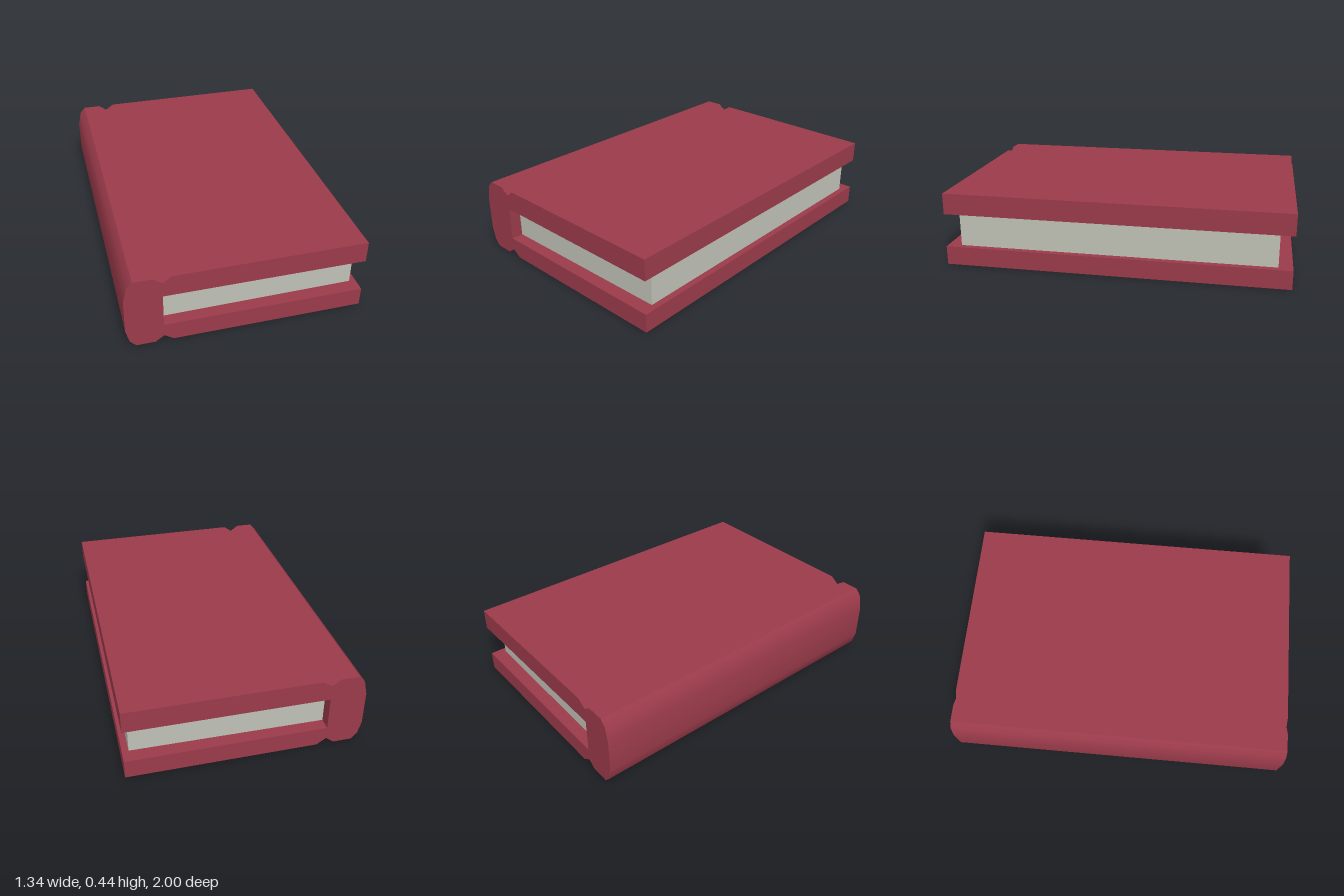
import * as THREE from 'three';
import { toCreasedNormals } from 'three/addons/utils/BufferGeometryUtils.js';

const HEIGHT = 0.436, INNER_LOW = 0.111, INNER_HIGH = 0.311;
const EDGE = 0.67, HINGE = -0.463;

// Extrude a closed outline of [x, y] points.
function extrude(points, depth) {
  const shape = new THREE.Shape(points.map(([x, y]) => new THREE.Vector2(x, y)));
  return new THREE.ExtrudeGeometry(shape, { depth, bevelEnabled: false });
}

// C-shaped binding: two boards, hinge grooves and a rounded spine.
function coverGeometry() {
  const upper = [
    [EDGE, INNER_HIGH], [EDGE, HEIGHT], [-0.411, HEIGHT], [HINGE, 0.4],
    [-0.511, HEIGHT], [-0.617, HEIGHT], [-0.65, 0.4], [-EDGE, INNER_HIGH],
  ];
  const lower = [
    [-EDGE, INNER_LOW], [-0.65, 0.036], [-0.617, 0], [-0.511, 0],
    [HINGE, 0.036], [-0.411, 0], [EDGE, 0], [EDGE, INNER_LOW],
  ];
  const inside = [[HINGE, INNER_LOW], [HINGE, INNER_HIGH]];
  const raw = extrude([...upper, ...lower, ...inside], 2);
  raw.translate(0, 0, -1);
  const geometry = toCreasedNormals(raw, THREE.MathUtils.degToRad(35));

  // Soften the shading across the hinge grooves.
  const p = geometry.attributes.position, n = geometry.attributes.normal;
  for (let i = 0; i < p.count; i++) {
    const outer = p.getY(i) > 0.39 || p.getY(i) < 0.045;
    const groove = p.getX(i) > -0.52 && p.getX(i) < -0.4;
    if (outer && groove && Math.abs(n.getZ(i)) < 0.5) {
      n.setXYZ(i, 0, p.getY(i) > 0.2 ? 1 : -1, 0);
    }
  }
  return geometry;
}

// Page block, very slightly narrower at the open edge.
function pagesGeometry() {
  const outline = [[HINGE, -0.93], [0.633, -0.92], [0.633, 0.92], [HINGE, 0.93]];
  const geometry = extrude(outline, INNER_HIGH - INNER_LOW);
  geometry.rotateX(-Math.PI / 2);
  geometry.translate(0, INNER_LOW, 0);
  return geometry;
}

export function createModel() {
  const coverRed = new THREE.MeshStandardMaterial({ color: 0x9a3a4a });
  coverRed.name = 'coverRed';
  const paperGrey = new THREE.MeshStandardMaterial({ color: 0xbfc0b5 });
  paperGrey.name = 'paperGrey';

  const book = new THREE.Group();
  book.name = 'book';
  const cover = new THREE.Mesh(coverGeometry(), coverRed);
  cover.name = 'cover';
  const pages = new THREE.Mesh(pagesGeometry(), paperGrey);
  pages.name = 'pages';
  book.add(cover, pages);
  return book;
}
